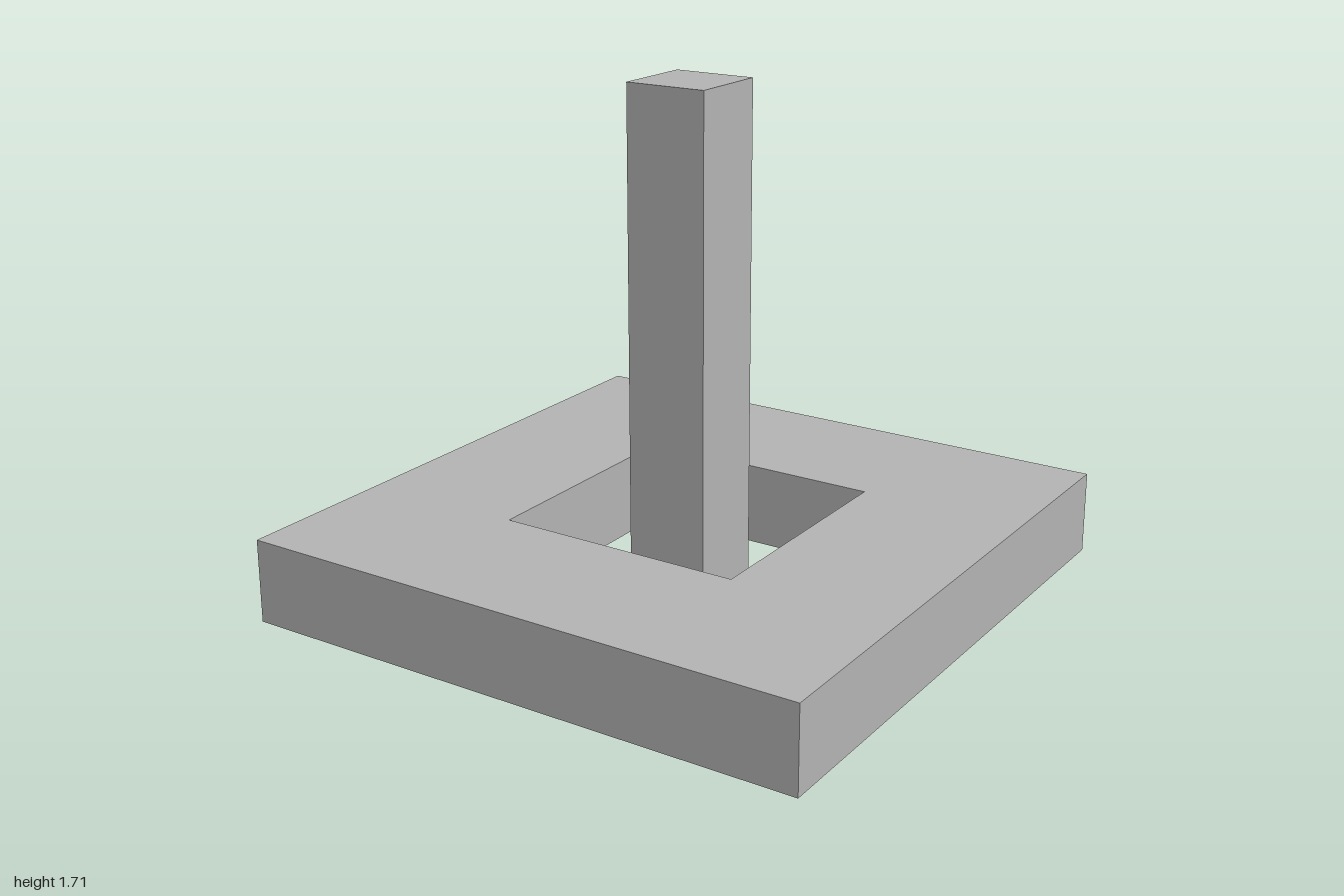
import * as THREE from 'three';

const U = 1 / 7; // base module: every size is a multiple of it

// Square outline of the given half width
function square(PathType, half) {
  const path = new PathType();
  path.moveTo(-half, -half);
  path.lineTo(half, -half);
  path.lineTo(half, half);
  path.lineTo(-half, half);
  path.closePath();
  return path;
}

export function createModel() {
  const model = new THREE.Group();
  model.name = 'postAndFrame';
  const grey = new THREE.MeshStandardMaterial({ color: 0xb2b2b2 });
  grey.name = 'grey';

  // Square base slab with a square hole through it
  const outline = square(THREE.Shape, 7 * U);
  outline.holes.push(square(THREE.Path, 3 * U));
  const baseGeometry = new THREE.ExtrudeGeometry(outline, { depth: 2 * U, bevelEnabled: false });
  baseGeometry.rotateX(-Math.PI / 2);
  const base = new THREE.Mesh(baseGeometry, grey);
  base.name = 'baseFrame';

  // Free-standing square post in the middle of the hole
  const post = new THREE.Mesh(new THREE.BoxGeometry(2 * U, 12 * U, 2 * U), grey);
  post.name = 'post';
  post.position.y = 6 * U;

  model.add(base, post);
  return model;
}
